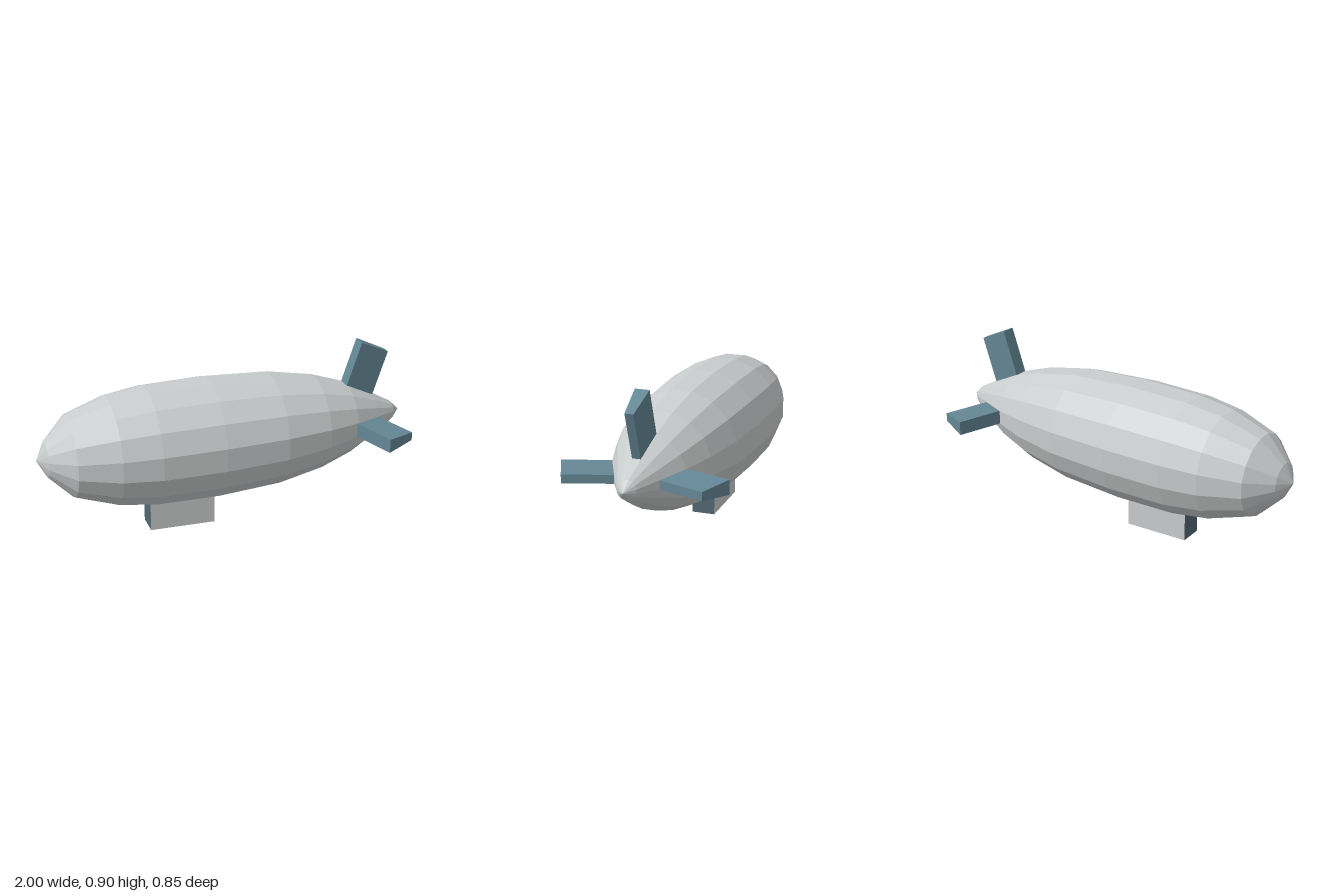
import * as THREE from 'three';

const AXIS_Y = 0.478;

function material(name, color) {
  const m = new THREE.MeshStandardMaterial({ color, flatShading: true });
  m.name = name;
  return m;
}

// Reshape a unit box: rule receives the corner signs and returns its position
function shapedBox(rule) {
  const geo = new THREE.BoxGeometry(1, 1, 1);
  const p = geo.attributes.position;
  for (let i = 0; i < p.count; i++) {
    p.setXYZ(i, ...rule(Math.sign(p.getX(i)), Math.sign(p.getY(i)), Math.sign(p.getZ(i))));
  }
  geo.computeVertexNormals();
  return geo;
}

export function createModel() {
  const model = new THREE.Group();
  model.name = 'airship';
  const silver = material('silver', 0xc9cccd);
  const teal = material('teal', 0x648795);
  const slate = material('slate', 0x536873);

  const add = (name, geo, mat, parent = model) => {
    const mesh = new THREE.Mesh(geo, mat);
    mesh.name = name;
    parent.add(mesh);
    return mesh;
  };

  // Hull: sixteen-sided lathe, stations given as [x, distance to the flats]
  const sides = 16;
  const stations = [
    [-1, 0], [-0.95, 0.092], [-0.83, 0.21], [-0.62, 0.279], [-0.42, 0.307], [-0.09, 0.313],
    [0.25, 0.295], [0.5, 0.249], [0.68, 0.19], [0.83, 0.115], [0.95, 0.05], [1, 0],
  ];
  const profile = stations.map(([x, r]) => new THREE.Vector2(r / Math.cos(Math.PI / sides), x));
  const hull = add('hull', new THREE.LatheGeometry(profile, sides, Math.PI / sides), silver);
  hull.rotation.z = -Math.PI / 2;
  hull.position.y = AXIS_Y;

  // Tail fins: swept back, thicker at the leading edge, roots sunk into the hull
  const finGeo = shapedBox((sx, sy, sz) => {
    const lead = sx < 0, tip = sy > 0;
    const x = (lead ? 0.66 : 0.82) + (tip ? 0.09 : 0);
    const y = (lead ? 0.157 : 0.082) + (tip ? 0.27 : 0);
    return [x, y, sz * (lead ? 0.037 : 0.022)];
  });
  [['topFin', 0], ['frontFin', Math.PI / 2], ['backFin', -Math.PI / 2]].forEach(([name, angle]) => {
    const fin = add(name, finGeo, teal);
    fin.rotation.x = angle;
    fin.position.y = AXIS_Y;
  });

  // Gondola: silver sides and floor, slate end walls (box face order +x -x +y -y +z -z)
  const gondolaGeo = shapedBox((sx, sy, sz) => [
    sx < 0 ? -0.43 : -0.08,
    sy > 0 ? 0.2 : sx < 0 ? 0.01 : 0,
    sz * 0.062,
  ]);
  add('gondola', gondolaGeo, [slate, slate, silver, silver, silver, silver]);

  return model;
}
